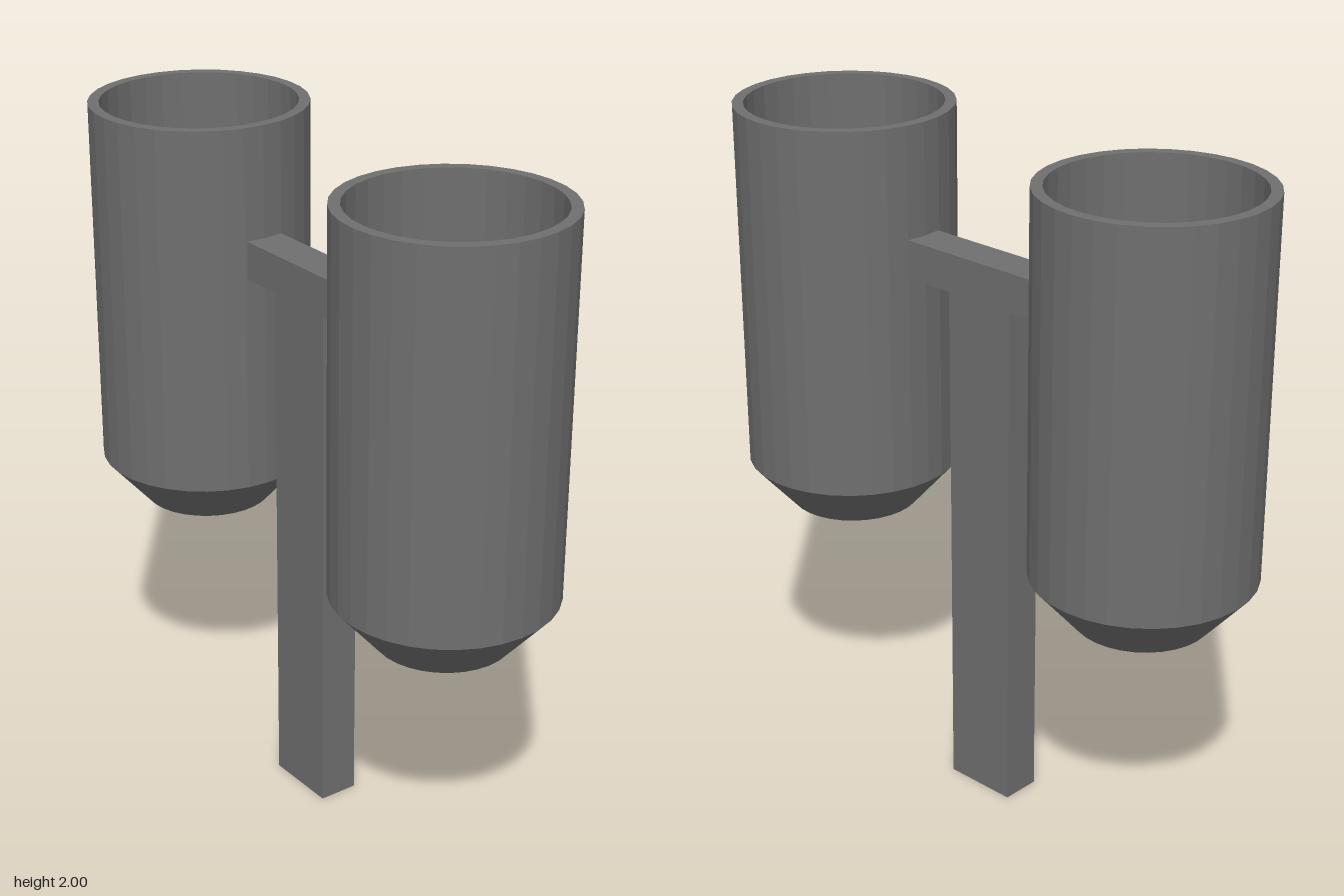
import * as THREE from 'three';

export function createModel() {
  const model = new THREE.Group();
  const material = new THREE.MeshStandardMaterial({ color: 0x6f6f6f, flatShading: true });

  const add = (name, geometry, x, y, z) => {
    const mesh = new THREE.Mesh(geometry, material);
    mesh.name = name;
    mesh.position.set(x, y, z);
    model.add(mesh);
  };

  // Flat post, slightly off centre, carrying a crossbar between the cups
  add('post', new THREE.BoxGeometry(0.226, 1.56, 0.118), -0.014, 0.78, -0.003);
  add('crossbar', new THREE.BoxGeometry(0.52, 0.113, 0.118), 0, 1.616, -0.003);

  // Open cup: tapered underside, straight wall, rim, inner wall and flat floor
  const profile = [
    [0, 0.7], [0.05, 0.7], [0.193, 0.765], [0.318, 0.908],
    [0.318, 2], [0.286, 2], [0.286, 0.93], [0, 0.93],
  ].map(([r, y]) => new THREE.Vector2(r, y));
  const cup = new THREE.LatheGeometry(profile, 32);
  add('leftCup', cup, 0.571, 0, 0);
  add('rightCup', cup, -0.571, 0, 0);

  return model;
}
